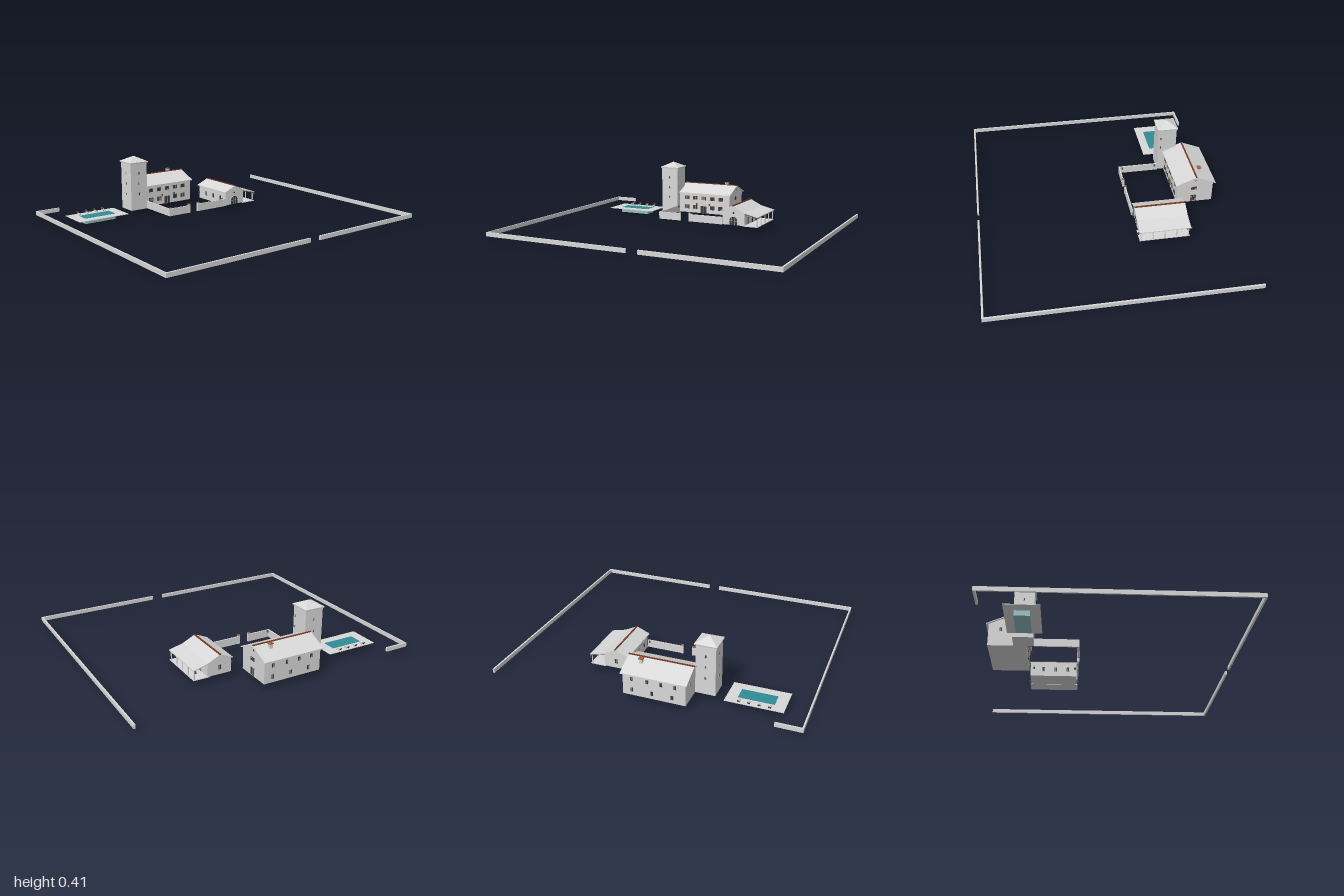
import * as THREE from 'three';

const mat = (name, color) => {
  const m = new THREE.MeshStandardMaterial({ color });
  m.name = name;
  return m;
};

export function createModel() {
  const root = new THREE.Group();
  root.name = 'villaEstate';
  const plaster = mat('plaster', 0xd8d8d8);
  const frameMat = mat('frame', 0xc4c4c0);
  const glass = mat('glass', 0x33363c);
  const wood = mat('shutterWood', 0x5e4a3c);
  const tile = mat('ridgeTile', 0x7a3a22);
  const brick = mat('brick', 0xa8613f);
  const water = mat('water', 0x2f8d95);
  const basin = mat('basin', 0x92bfc2);
  const iron = mat('iron', 0x555555);
  const G = 0.036; // ground level

  const add = (name, geo, material, parent = root) => {
    const m = new THREE.Mesh(geo, material);
    m.name = name;
    parent.add(m);
    return m;
  };
  // box given by its limits
  const box = (name, material, x0, x1, y0, y1, z0, z1, parent) => {
    const m = add(name, new THREE.BoxGeometry(x1 - x0, y1 - y0, z1 - z0), material, parent);
    m.position.set((x0 + x1) / 2, (y0 + y1) / 2, (z0 + z1) / 2);
    return m;
  };
  // profile extruded along z (points are x,y) or along x (points are z,y)
  const prism = (name, material, pts, from, to, axis) => {
    const s = new THREE.Shape(pts.map(([u, y]) => new THREE.Vector2(axis === 'x' ? -u : u, y)));
    const geo = new THREE.ExtrudeGeometry(s, { depth: to - from, bevelEnabled: false });
    geo.translate(0, 0, from);
    if (axis === 'x') geo.rotateY(Math.PI / 2);
    return add(name, geo, material);
  };
  // roof sheet of even thickness following a line of points
  const roof = (name, line, from, to, axis, t = 0.006) =>
    prism(name, plaster, [...line, ...line.map(([u, y]) => [u, y - t]).reverse()], from, to, axis);

  // group on a wall; turn: 0 front, 1 left side (+x), 2 back, 3 right side (-x)
  const onWall = (name, x, y, z, turn) => {
    const g = new THREE.Group();
    g.name = name;
    g.position.set(x, y, z);
    g.rotation.y = turn * Math.PI / 2;
    root.add(g);
    return g;
  };
  const opening = (name, x, y, z, turn, w, h, shutters = false) => {
    const g = onWall(name, x, y, z, turn);
    box('frame', frameMat, -w / 2 - 0.002, w / 2 + 0.002, -h / 2 - 0.002, h / 2 + 0.002, -0.001, 0.0012, g);
    box('pane', glass, -w / 2, w / 2, -h / 2, h / 2, -0.001, 0.002, g);
    box('mullion', frameMat, -0.0008, 0.0008, -h / 2, h / 2, 0, 0.003, g);
    if (shutters) for (const s of [-1, 1]) {
      const c = s * (w / 2 + 0.006);
      box('shutter', wood, c - 0.004, c + 0.004, -h / 2, h / 2, 0, 0.004, g);
    }
  };
  const lamp = (x, z, y = 0.105) => {
    const m = add('lantern', new THREE.CylinderGeometry(0.007, 0.005, 0.014, 8), iron);
    m.position.set(x, y, z);
  };

  // Perimeter wall
  const outer = [
    [-1, -0.99, -0.78, 0.845], [-1, -0.83, -0.78, -0.768], [-1, 0.04, 0.834, 0.846],
    [0.12, 1, 0.834, 0.846], [0.988, 1, -0.855, 0.846],
  ];
  for (const [x0, x1, z0, z1] of outer) box('perimeterWall', plaster, x0, x1, G, 0.063, z0, z1);

  // Pool, deck and loungers
  box('poolDeck', plaster, -0.85, -0.48, G - 0.002, G + 0.002, -0.63, -0.415);
  box('poolBasin', basin, -0.78, -0.55, 0, G, -0.57, -0.475);
  box('poolWater', water, -0.78, -0.55, G, G + 0.003, -0.57, -0.475);
  for (const x of [-0.762, -0.698, -0.634, -0.57]) {
    box('loungerSeat', frameMat, x - 0.008, x + 0.008, 0.043, 0.046, -0.62, -0.59);
    const back = box('loungerBack', wood, x - 0.008, x + 0.008, 0.044, 0.058, -0.627, -0.624);
    back.rotation.x = -0.5;
    for (const sx of [-1, 1]) for (const z of [-0.617, -0.593])
      box('loungerLeg', iron, x + sx * 0.006 - 0.001, x + sx * 0.006 + 0.001, G, 0.043, z - 0.001, z + 0.001);
  }

  // Main house
  prism('houseWalls', plaster,
    [[-0.77, G], [-0.77, 0.188], [-0.648, 0.24], [-0.522, 0.188], [-0.522, G]], -0.288, 0.12, 'x');
  roof('houseRoof', [[-0.787, 0.187], [-0.648, 0.246], [-0.51, 0.187]], -0.3, 0.13, 'x');
  box('houseRidge', tile, -0.3, 0.13, 0.243, 0.249, -0.653, -0.643);
  box('chimney', plaster, 0.018, 0.04, 0.2, 0.255, -0.7, -0.68);
  box('chimneyCap', brick, 0.014, 0.044, 0.253, 0.259, -0.703, -0.677);
  for (const x of [-0.227, -0.158, -0.088, -0.019, 0.05]) {
    opening('houseUpperWindow', x, 0.15, -0.522, 0, 0.015, 0.026, true);
    if (x === -0.088) opening('houseDoor', x, 0.063, -0.522, 0, 0.028, 0.054, true);
    else opening('houseLowerWindow', x, 0.08, -0.522, 0, 0.015, 0.03, true);
  }
  for (const x of [-0.22, -0.13, -0.04, 0.06]) opening('houseBackWindow', x, 0.15, -0.77, 2, 0.016, 0.026);
  for (const x of [-0.2, -0.07, 0.06]) opening('houseBackLowerWindow', x, 0.075, -0.77, 2, 0.016, 0.028);
  opening('houseSideWindow', 0.12, 0.15, -0.638, 1, 0.018, 0.024, true);
  opening('houseSideDoor', 0.12, 0.067, -0.638, 1, 0.018, 0.05, true);
  opening('houseAtticWindow', 0.12, 0.212, -0.648, 1, 0.008, 0.01);
  opening('houseFarSideWindow', -0.288, 0.15, -0.69, 3, 0.016, 0.026);
  lamp(-0.14, -0.508);
  lamp(-0.035, -0.508);

  // Tower
  box('towerWalls', plaster, -0.418, -0.288, G, 0.378, -0.605, -0.475);
  box('towerCornice', frameMat, -0.425, -0.281, 0.37, 0.378, -0.612, -0.468);
  const cap = new THREE.ConeGeometry(0.073 * Math.SQRT2, 0.037, 4).rotateY(Math.PI / 4).toNonIndexed();
  cap.computeVertexNormals();
  add('towerRoof', cap, plaster).position.set(-0.353, 0.3965, -0.54);
  for (const y of [0.3, 0.225, 0.15]) {
    opening('towerWindow', -0.353, y, -0.475, 0, 0.008, 0.018);
    opening('towerWindow', -0.353, y, -0.605, 2, 0.008, 0.018);
    opening('towerWindow', -0.418, y, -0.54, 3, 0.008, 0.018);
    if (y > 0.2) opening('towerWindow', -0.288, y, -0.492, 1, 0.006, 0.018);
  }

  // Barn with side porch
  prism('barnWalls', plaster,
    [[0.205, G], [0.205, 0.136], [0.285, 0.168], [0.37, 0.128], [0.37, G]], -0.52, -0.2, 'z');
  roof('barnRoof', [[0.195, 0.136], [0.285, 0.174], [0.372, 0.131], [0.47, 0.107]], -0.53, -0.188, 'z');
  box('barnRidge', tile, 0.281, 0.291, 0.17, 0.177, -0.53, -0.188);
  box('porchFloor', plaster, 0.36, 0.468, G - 0.002, G + 0.003, -0.525, -0.19);
  box('porchBeam', wood, 0.456, 0.464, 0.096, 0.103, -0.525, -0.19);
  for (let i = 0; i < 5; i++) {
    const z = -0.517 + i * 0.0795;
    const post = add('porchPost', new THREE.CylinderGeometry(0.004, 0.004, 0.062, 8), plaster);
    post.position.set(0.46, 0.068, z);
    const rafter = box('porchRafter', wood, -0.048, 0.048, -0.003, 0.003, -0.003, 0.003);
    rafter.position.set(0.417, 0.11, z);
    rafter.rotation.z = -0.24;
  }
  lamp(0.46, -0.535, 0.095);
  lamp(0.46, -0.182, 0.095);
  for (const z of [-0.26, -0.345, -0.43]) {
    opening('barnPorchDoor', 0.37, 0.065, z, 1, 0.018, 0.05);
    opening('barnYardWindow', 0.205, 0.085, z, 3, 0.016, 0.03);
  }
  opening('barnBackWindow', 0.285, 0.085, -0.52, 2, 0.02, 0.03);

  // Arched barn door with glazing bars and a round vent above
  const arch = r => {
    const s = new THREE.Shape();
    s.moveTo(-r, 0);
    s.lineTo(r, 0);
    s.lineTo(r, 0.03);
    s.absarc(0, 0.03, r, 0, Math.PI, false);
    return s;
  };
  const door = onWall('barnArchDoor', 0.287, G, -0.2, 0);
  const layer = (r, d) => new THREE.ExtrudeGeometry(arch(r), { depth: d, bevelEnabled: false, curveSegments: 10 });
  add('archFrame', layer(0.032, 0.002), frameMat, door);
  add('archPane', layer(0.029, 0.003), glass, door);
  for (const x of [-0.012, 0.012]) box('archBar', frameMat, x - 0.001, x + 0.001, 0, 0.055, 0, 0.004, door);
  box('archCrossbar', frameMat, -0.029, 0.029, 0.029, 0.031, 0, 0.004, door);
  const vent = add('roundVent', new THREE.CylinderGeometry(0.006, 0.006, 0.004, 12).rotateX(Math.PI / 2), glass);
  vent.position.set(0.287, 0.122, -0.2);

  // Courtyard wall, gate posts and lanterns
  box('courtWallSide', plaster, -0.29, -0.281, G, 0.088, -0.475, -0.186);
  box('courtWallFront', plaster, -0.29, -0.125, G, 0.088, -0.195, -0.186);
  box('courtWallFront', plaster, -0.045, 0.206, G, 0.088, -0.195, -0.186);
  for (const x of [-0.125, -0.045]) {
    box('gatePost', plaster, x - 0.008, x + 0.008, G, 0.096, -0.198, -0.183);
    box('gatePostCap', brick, x - 0.009, x + 0.009, 0.096, 0.1, -0.199, -0.182);
  }
  for (const [x, z] of [[-0.265, -0.45], [-0.265, -0.21], [0.185, -0.495], [0.185, -0.21]]) lamp(x, z, 0.085);

  return root;
}
